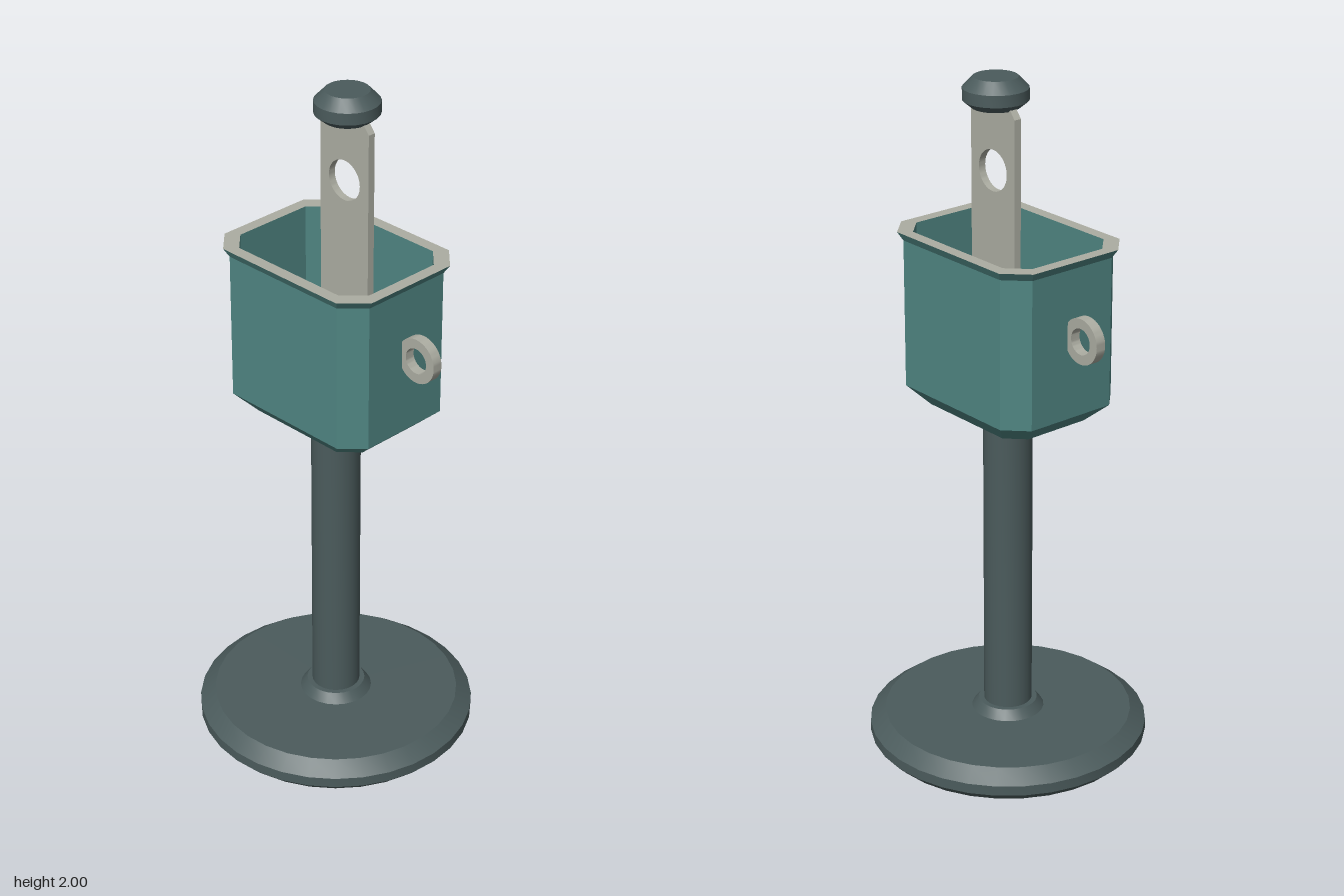
import * as THREE from 'three';
import { toCreasedNormals } from 'three/addons/utils/BufferGeometryUtils.js';

const iron = new THREE.MeshStandardMaterial({ color: 0x4b5b5c });
const teal = new THREE.MeshStandardMaterial({ color: 0x4f8582 });
const steel = new THREE.MeshStandardMaterial({ color: 0xacada2 });

function part(name, geometry, material) {
  const mesh = new THREE.Mesh(geometry, material);
  mesh.name = name;
  return mesh;
}

// Turned part from [radius, y] pairs, bottom to top
function turned(profile, segments) {
  const points = profile.map(([r, y]) => new THREE.Vector2(r, y));
  return toCreasedNormals(new THREE.LatheGeometry(points, segments), 0.4);
}

// Rectangle with cut corners, as a loop around y
function cutLoop([y, hx, hz, c]) {
  return [
    [hx, -hz + c], [hx, hz - c], [hx - c, hz], [-hx + c, hz],
    [-hx, hz - c], [-hx, -hz + c], [-hx + c, -hz], [hx - c, -hz],
  ].map(([x, z]) => [x, y, z]);
}

// Faceted skin through a list of [y, halfX, halfZ, cornerCut] loops
function loft(sections) {
  const loops = sections.map(cutLoop);
  const positions = [];
  for (let s = 0; s < loops.length - 1; s++) {
    const a = loops[s], b = loops[s + 1];
    for (let i = 0; i < 8; i++) {
      const j = (i + 1) % 8;
      if (sections[s + 1][1] > 0) positions.push(...a[i], ...b[i], ...b[j]);
      if (sections[s][1] > 0) positions.push(...a[i], ...b[j], ...a[j]);
    }
  }
  const geometry = new THREE.BufferGeometry();
  geometry.setAttribute('position', new THREE.Float32BufferAttribute(positions, 3));
  geometry.computeVertexNormals();
  return geometry;
}

// Flat plate of a shape, centred on z = 0
function plate(shape, depth) {
  const geometry = new THREE.ExtrudeGeometry(shape, { depth, bevelEnabled: false, curveSegments: 24 });
  geometry.translate(0, 0, -depth / 2);
  return toCreasedNormals(geometry, 0.4);
}

function roundHole(x, y, r) {
  return new THREE.Path().absarc(x, y, r, 0, Math.PI * 2, true);
}

export function createModel() {
  const model = new THREE.Group();
  model.name = 'pedestalBin';

  // Stand
  model.add(part('base', turned([
    [0, 0], [0.38, 0], [0.405, 0.025], [0.405, 0.055], [0.36, 0.09], [0, 0.09],
  ], 32), iron));
  model.add(part('collar', turned([[0.105, 0.09], [0.085, 0.117], [0, 0.117]], 24), iron));
  model.add(part('post', turned([[0.07, 0.09], [0.07, 1.045]], 24), iron));

  // Box with a flared lip and straight inner walls
  const lip = [1.547, 0.28, 0.213, 0.064];
  const mouth = [1.547, 0.245, 0.178, 0.055];
  model.add(part('boxOutside', loft([
    [1.04, 0, 0, 0], [1.04, 0.205, 0.15, 0.05], [1.095, 0.265, 0.2, 0.06],
    [1.523, 0.265, 0.2, 0.06], lip,
  ]), teal));
  model.add(part('rim', loft([lip, mouth]), steel));
  model.add(part('boxInside', loft([mouth, [1.09, 0.245, 0.178, 0.055], [1.09, 0, 0, 0]]), teal));

  // Side rings
  const ring = new THREE.Shape().absarc(0, 0, 0.065, 0, Math.PI * 2);
  ring.holes.push(roundHole(0, 0, 0.037));
  const ringGeometry = plate(ring, 0.03);
  for (const side of [-1, 1]) {
    const mesh = part(side > 0 ? 'leftRing' : 'rightRing', ringGeometry, steel);
    mesh.position.set(side * 0.316, 1.336, 0);
    model.add(mesh);
  }

  // Upright strap with a round hole
  const strap = new THREE.Shape([
    [-0.09, 1.085], [0.09, 1.085], [0.09, 1.9], [0.07, 1.925], [-0.07, 1.925], [-0.09, 1.9],
  ].map(([x, y]) => new THREE.Vector2(x, y)));
  strap.holes.push(roundHole(0, 1.742, 0.058));
  const strapMesh = part('strap', plate(strap, 0.022), steel);
  strapMesh.position.z = -0.042;
  model.add(strapMesh);

  // Knob on the strap
  const knob = part('knob', turned([
    [0, 1.917], [0.066, 1.917], [0.09, 1.937], [0.09, 1.97], [0.061, 2], [0, 2],
  ], 24), iron);
  knob.position.z = -0.042;
  model.add(knob);

  return model;
}
